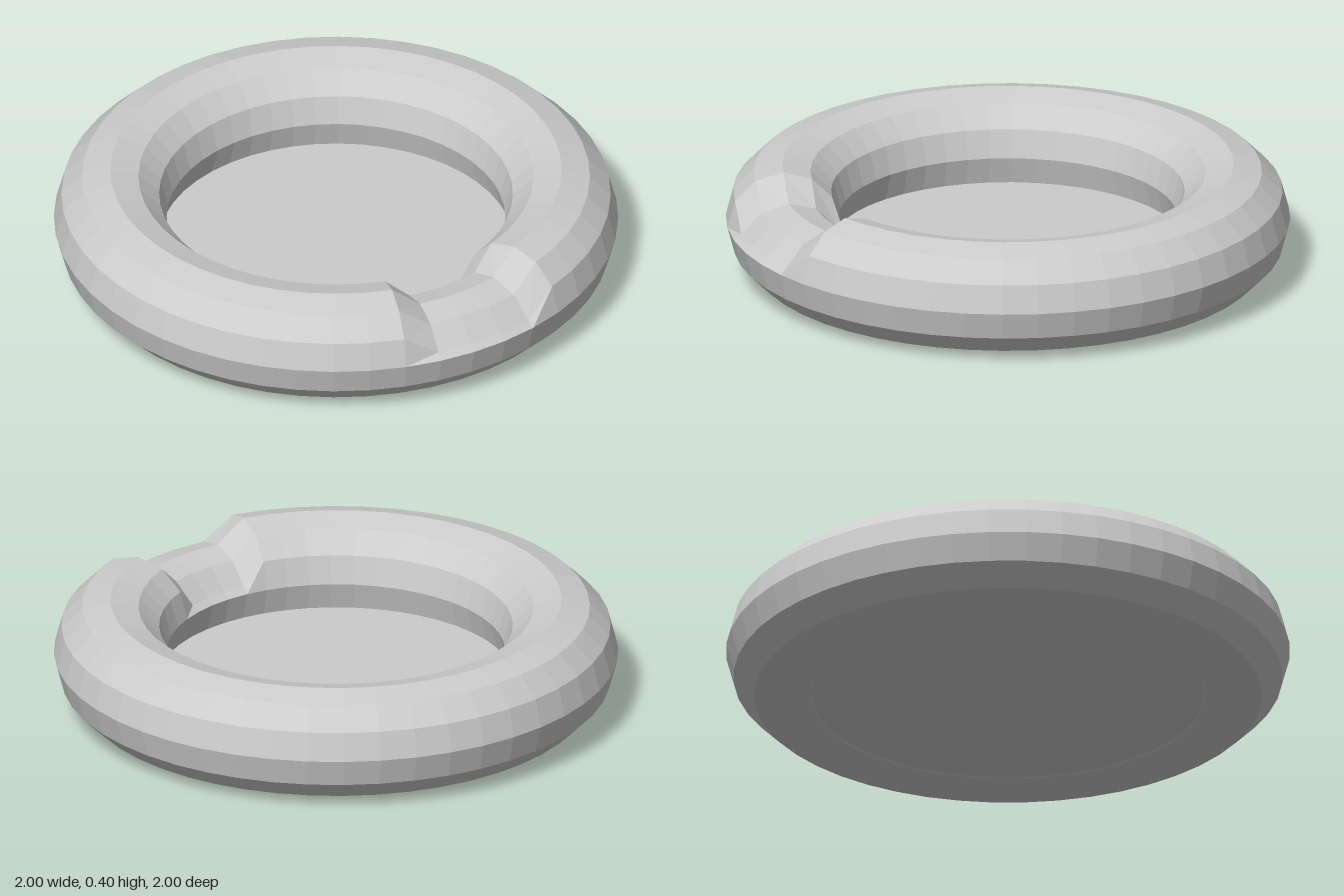
import * as THREE from 'three';

export function createModel() {
  const group = new THREE.Group();
  group.name = 'ashtray';
  const material = new THREE.MeshStandardMaterial({ color: 0xcccccc, flatShading: true });

  // Faceted ring lying flat
  const ring = new THREE.TorusGeometry(0.8, 0.2, 12, 48);
  ring.rotateX(-Math.PI / 2);
  ring.translate(0, 0.2, 0);

  // Rest notch: lower the upper half of a few columns at the front
  const p = ring.attributes.position;
  for (let i = 0; i < p.count; i++) {
    const angle = THREE.MathUtils.radToDeg(Math.atan2(p.getX(i), p.getZ(i)));
    if (p.getY(i) > 0.21 && angle > -16 && angle < 8) p.setY(i, p.getY(i) - 0.08);
  }
  ring.computeVertexNormals();
  const rim = new THREE.Mesh(ring, material);
  rim.name = 'rim';
  group.add(rim);

  // Base plate closing the ring
  const base = new THREE.Mesh(new THREE.CylinderGeometry(0.63, 0.7, 0.07, 48), material);
  base.position.y = 0.065;
  base.name = 'base';
  group.add(base);

  return group;
}
